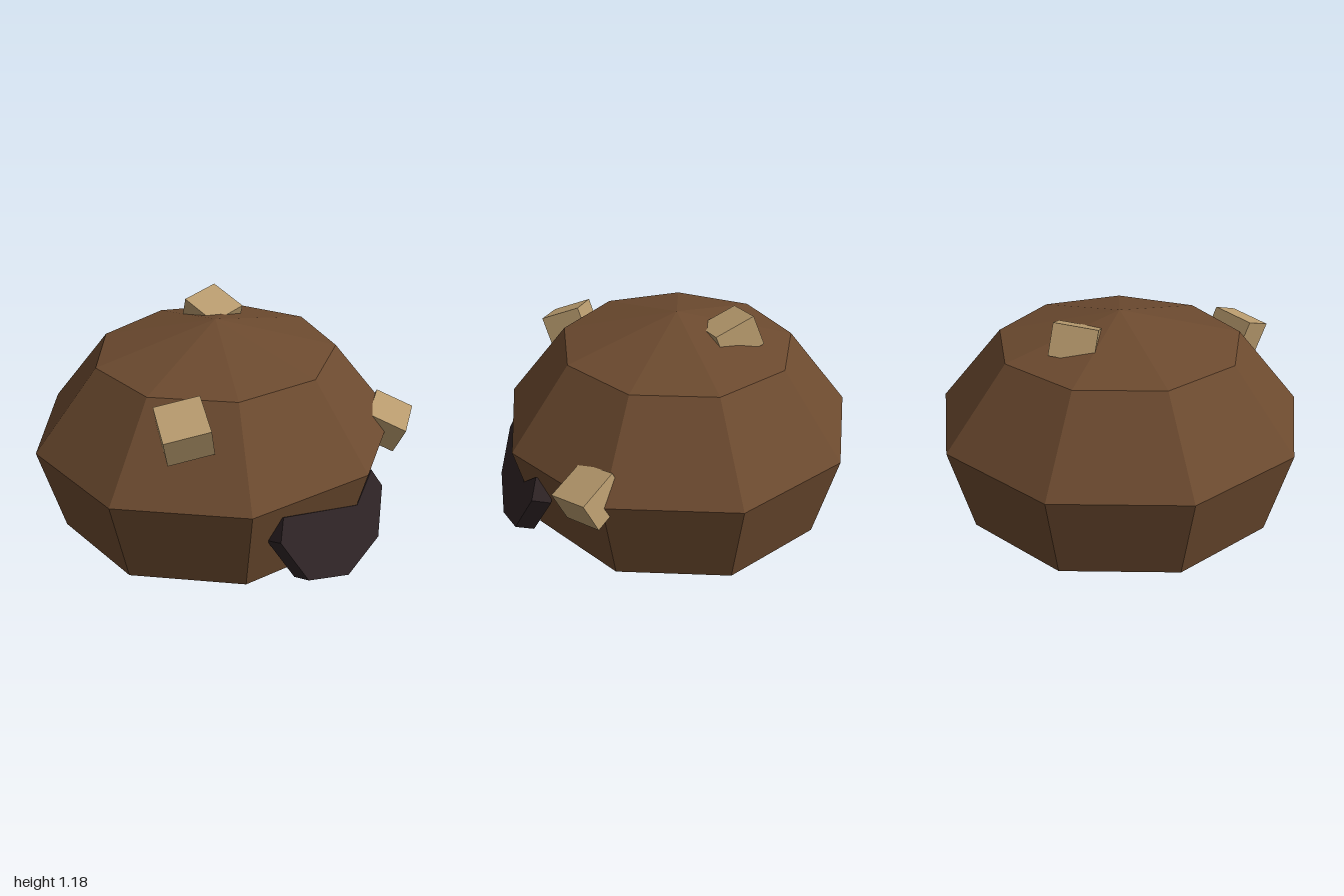
import * as THREE from 'three';

const brown = new THREE.MeshStandardMaterial({ color: 0x6c4a2f });
brown.name = 'brown crust';
const tan = new THREE.MeshStandardMaterial({ color: 0xb89b6e });
tan.name = 'tan lump';
const dark = new THREE.MeshStandardMaterial({ color: 0x2f2426 });
dark.name = 'dark opening';

// Faceted mesh: split vertices so that every face gets its own normal
function facetedMesh(name, geometry, material) {
  const g = geometry.index ? geometry.toNonIndexed() : geometry;
  g.computeVertexNormals();
  const mesh = new THREE.Mesh(g, material);
  mesh.name = name;
  return mesh;
}

// Tilted block with given local x direction and approximate up direction
function block(name, center, size, xDir, upDir) {
  const x = new THREE.Vector3(...xDir).normalize();
  const z = new THREE.Vector3().crossVectors(x, new THREE.Vector3(...upDir)).normalize();
  const y = new THREE.Vector3().crossVectors(z, x);
  const mesh = facetedMesh(name, new THREE.BoxGeometry(...size), tan);
  mesh.quaternion.setFromRotationMatrix(new THREE.Matrix4().makeBasis(x, y, z));
  mesh.position.set(...center);
  return mesh;
}

export function createModel() {
  const model = new THREE.Group();
  model.name = 'moundHut';

  // Nine-sided closed dome, slightly narrower in depth
  const profile = [[0, 0.05], [0.907, 0.05], [1.031, 0.54], [0.673, 0.975], [0, 1.143]]
    .map(([r, y]) => new THREE.Vector2(r, y));
  const domeGeometry = new THREE.LatheGeometry(profile, 9, Math.PI / 2);
  domeGeometry.scale(1, 1, 0.951);
  domeGeometry.translate(-0.031, 0, -0.035);
  model.add(facetedMesh('dome', domeGeometry, brown));

  // Dark notched slab leaning back against the front wall
  const tilt = THREE.MathUtils.degToRad(21);
  const thickness = 0.105;
  const outline = [[-0.03, 0], [0.24, 0.09], [0.35, 0.322], [0.296, 0.425],
    [0.138, 0.298], [-0.36, 0.43], [-0.413, 0.325], [-0.298, 0.09]]
    .map(([x, y]) => new THREE.Vector2(x, y / Math.cos(tilt)));
  const slabGeometry = new THREE.ExtrudeGeometry(new THREE.Shape(outline),
    { depth: thickness, bevelEnabled: false });
  slabGeometry.translate(0, 0, -thickness);
  const slab = facetedMesh('frontOpening', slabGeometry, dark);
  slab.rotation.x = -tilt;
  slab.position.set(0, 0.04, 1);
  model.add(slab);

  // Blocks half sunk into the dome
  model.add(
    block('rightLump', [-0.636, 0.883, 0.43], [0.23, 0.17, 0.23],
      [0.195, 0.037, 0.11], [-0.053, 0.16, 0.04]),
    block('leftLump', [0.65, 0.548, 0.632], [0.233, 0.17, 0.22],
      [0.2, 0.043, -0.115], [0.006, 0.156, 0.068]),
    block('topLump', [0.154, 1.052, -0.278], [0.232, 0.17, 0.23],
      [0.23, 0.032, -0.015], [-0.027, 0.155, 0.06]),
  );
  return model;
}
